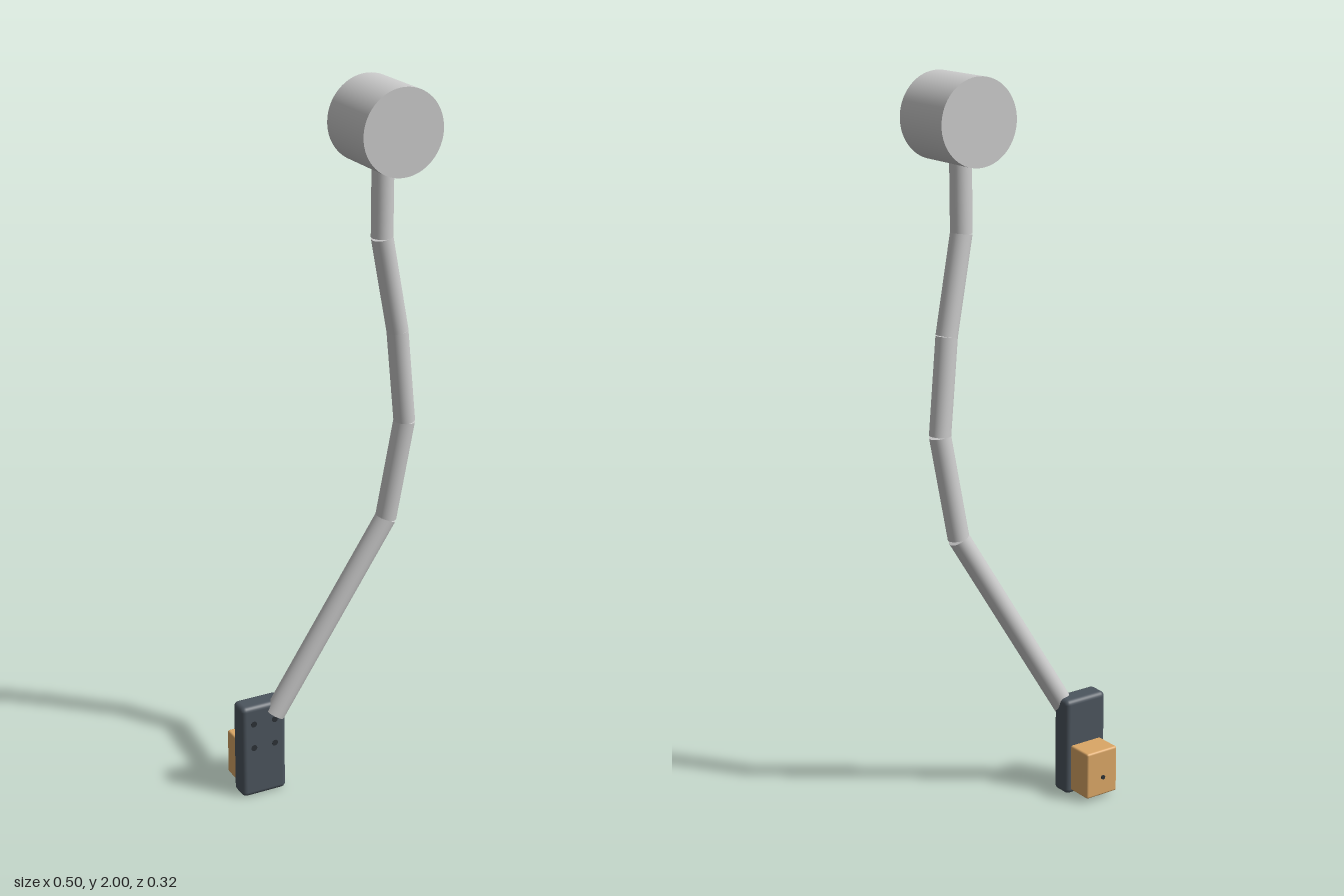
import * as THREE from 'three';
import { RoundedBoxGeometry } from 'three/addons/geometries/RoundedBoxGeometry.js';

export function createModel() {
  const model = new THREE.Group();
  const grey = new THREE.MeshStandardMaterial({ color: 0xcccccc });
  const slate = new THREE.MeshStandardMaterial({ color: 0x4c555e });
  const dark = new THREE.MeshStandardMaterial({ color: 0x2c3136 });
  const amber = new THREE.MeshStandardMaterial({ color: 0xdba766 });

  const add = (name, geometry, material, x, y, z) => {
    const mesh = new THREE.Mesh(geometry, material);
    mesh.name = name;
    mesh.position.set(x, y, z);
    model.add(mesh);
    return mesh;
  };

  // Drum at the top, axis front to back
  add('headDrum', new THREE.CylinderGeometry(0.114, 0.114, 0.19, 64), grey, 0.132, 1.886, 0.064)
    .rotation.x = Math.PI / 2;

  // Bent arm made of straight rods meeting end to end
  const joints = [
    [0.13, 1.80, 0.058], [0.13, 1.595, 0.057], [0.184, 1.333, 0.048],
    [0.215, 1.072, 0.037], [0.173, 0.79, 0.017], [-0.148, 0.245, -0.027],
  ].map(p => new THREE.Vector3(...p));
  const up = new THREE.Vector3(0, 1, 0);
  for (let i = 1; i < joints.length; i++) {
    const span = joints[i - 1].clone().sub(joints[i]);
    const middle = joints[i].clone().addScaledVector(span, 0.5);
    const rod = add('armRod' + i, new THREE.CylinderGeometry(0.029, 0.029, span.length(), 32), grey,
      middle.x, middle.y, middle.z);
    rod.quaternion.setFromUnitVectors(up, span.normalize());
  }

  // Mounting plate with four flush screws
  add('mountPlate', new RoundedBoxGeometry(0.134, 0.28, 0.062, 3, 0.014), slate, -0.183, 0.144, -0.051);
  for (const x of [-0.215, -0.151]) {
    for (const y of [0.156, 0.23]) {
      add('plateScrew', new THREE.CylinderGeometry(0.009, 0.009, 0.006, 16), dark, x, y, -0.0225)
        .rotation.x = Math.PI / 2;
    }
  }

  // Block behind the plate, with a small pin on its back
  add('rearBlock', new RoundedBoxGeometry(0.103, 0.134, 0.087, 2, 0.006), amber, -0.182, 0.083, -0.1135);
  add('blockPin', new THREE.CylinderGeometry(0.006, 0.006, 0.008, 12), dark, -0.184, 0.07, -0.157)
    .rotation.x = Math.PI / 2;

  return model;
}
